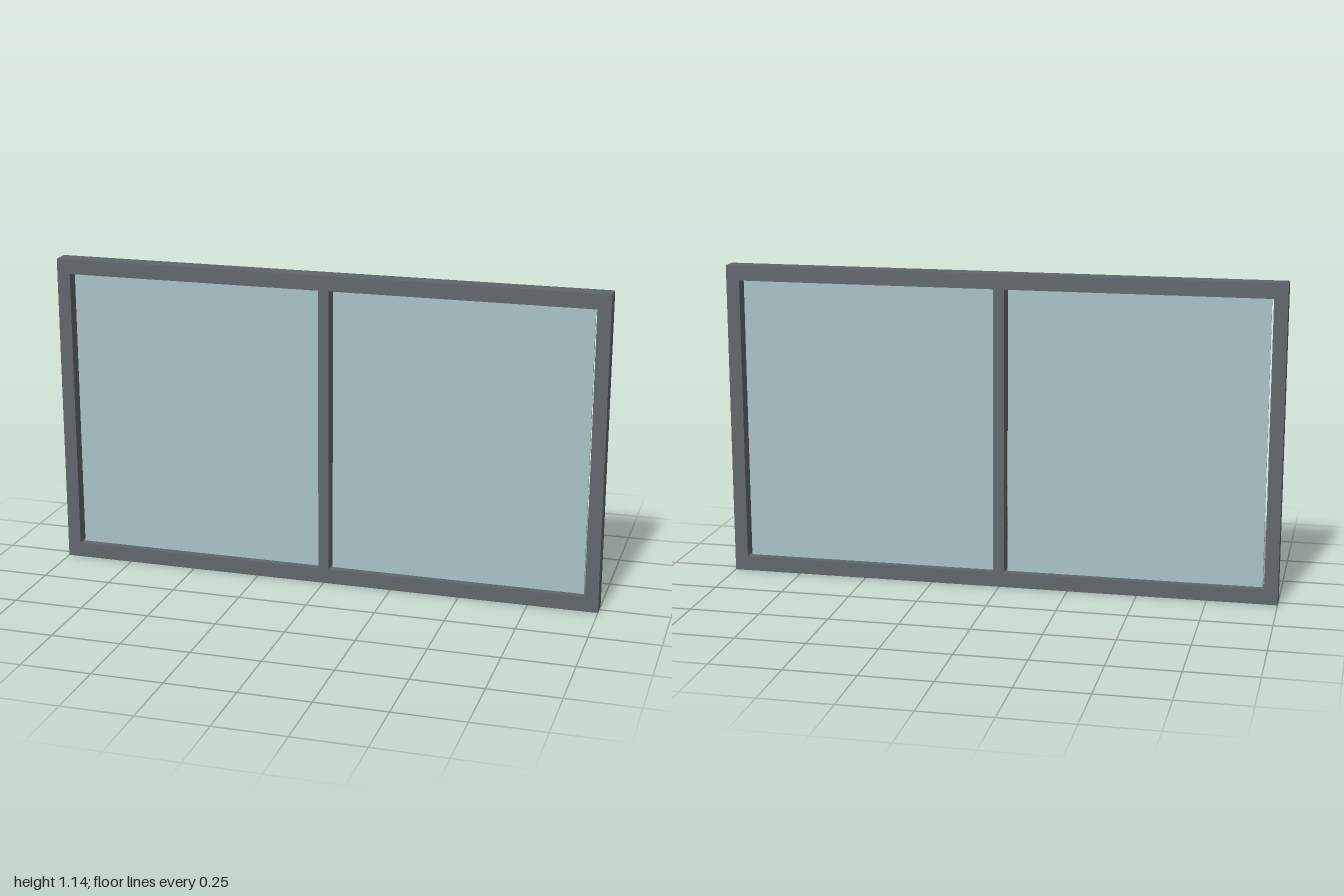
import * as THREE from 'three';

const WIDTH = 2, HEIGHT = 1.14, DEPTH = 0.064;
const SIDE = 0.048, RAIL = 0.054, MULLION = 0.038, GAP = 0.008;

export function createModel() {
  const model = new THREE.Group();
  model.name = 'window';

  const frameGrey = new THREE.MeshStandardMaterial({ color: 0x5f666b });
  frameGrey.name = 'frameGrey';
  const glassBlue = new THREE.MeshStandardMaterial({ color: 0xa8c2c8 });
  glassBlue.name = 'glassBlue';

  const add = (name, geometry, material, x, y, z) => {
    const mesh = new THREE.Mesh(geometry, material);
    mesh.name = name;
    mesh.position.set(x, y, z);
    model.add(mesh);
  };

  // Outer frame: one rectangle with a rectangular opening
  const outline = new THREE.Shape([
    new THREE.Vector2(-WIDTH / 2, 0), new THREE.Vector2(WIDTH / 2, 0),
    new THREE.Vector2(WIDTH / 2, HEIGHT), new THREE.Vector2(-WIDTH / 2, HEIGHT),
  ]);
  const inX = WIDTH / 2 - SIDE;
  outline.holes.push(new THREE.Path([
    new THREE.Vector2(-inX, RAIL), new THREE.Vector2(-inX, HEIGHT - RAIL),
    new THREE.Vector2(inX, HEIGHT - RAIL), new THREE.Vector2(inX, RAIL),
  ]));
  const frame = new THREE.ExtrudeGeometry(outline, { depth: DEPTH, bevelEnabled: false });
  add('outerFrame', frame, frameGrey, 0, 0, -DEPTH / 2);

  // Centre mullion
  const openHeight = HEIGHT - 2 * RAIL;
  add('mullion', new THREE.BoxGeometry(MULLION, openHeight, DEPTH), frameGrey, 0, HEIGHT / 2, 0);

  // Glass panes, with a narrow gap at their vertical edges
  const x0 = MULLION / 2 + GAP, x1 = inX - GAP;
  const pane = new THREE.BoxGeometry(x1 - x0, openHeight, 0.009);
  for (const [name, side] of [['leftPane', 1], ['rightPane', -1]]) {
    add(name, pane, glassBlue, side * (x0 + x1) / 2, HEIGHT / 2, 0);
  }

  return model;
}
